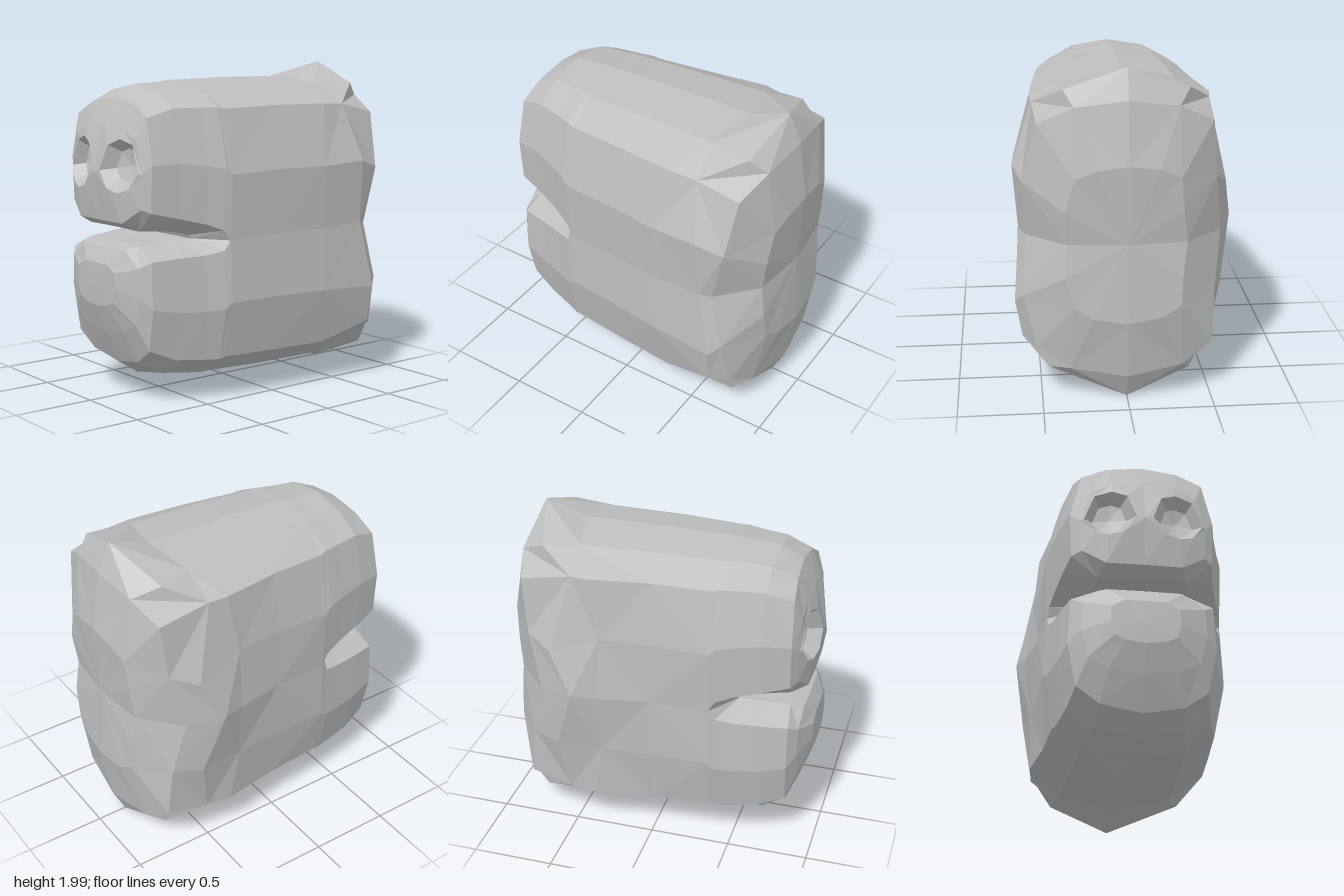
import * as THREE from 'three';

const skin = new THREE.MeshStandardMaterial({ color: 0xbebebe, flatShading: true });
skin.name = 'grey skin';

// Outline fractions: floor centre, floor side, lip corner, cheek, shoulder, crown side, crown
const upperProfile = [[0, 0], [0.6, 0], [0.97, 0], [1, 0.42], [0.85, 0.83], [0.5, 0.95], [0, 1]];
const lowerProfile = [[0, 0], [0.6, 0], [0.97, 0], [1, 0.42], [0.88, 0.8], [0.56, 0.94], [0, 1]];

// Cross-section of the upper half (crown above the floor) or the lower half (crown below it)
function section(profile, [z, wNeg, wPos, crown, floor = 1, corner = 1, bow = 0, floorZ = 0]) {
  // The right cheek flattens towards the rear
  const flatten = 1 - 0.1 * THREE.MathUtils.clamp((0.4 - z) / 0.9, 0, 1);
  const pt = (i, side) => {
    const [fx, fy] = profile[i];
    const w = side > 0 ? wPos : wNeg * (i === 3 ? flatten : 1);
    const y = i < 2 ? floor : corner + (crown - corner) * fy;
    const pinch = z < -0.7 && i === 2 ? bow * 0.7 : 0;
    return [side * fx * w, y, z + bow * fx * fx + pinch + (i < 2 ? floorZ : 0)];
  };
  return [0, 1, 2, 3, 4, 5, 6].map(i => pt(i, 1)).concat([5, 4, 3, 2, 1].map(i => pt(i, -1)));
}

// Uneven rim round the back of the head, in the same point order as a section
const seam = { centre: [0, 1, -0.8], left: [0.62, 1.02, -0.61], right: [-0.65, 1.02, -0.46] };
const rim = points => [seam.centre, seam.centre, seam.left, ...points, seam.right, seam.centre];
const upperRim = rim([
  [0.65, 1.4, -0.6], [0.53, 1.75, -0.53], [0.36, 1.87, -0.76], [0, 2, -0.81],
  [-0.37, 1.86, -0.7], [-0.51, 1.75, -0.48], [-0.6, 1.28, -0.6],
]);
const lowerRim = rim([
  [0.65, 0.6, -0.7], [0.61, 0.37, -0.69], [0.46, 0.2, -0.77], [0, 0.01, -0.81],
  [-0.38, 0.15, -0.74], [-0.53, 0.28, -0.52], [-0.585, 0.63, -0.58],
]);

// Skin a list of rings; skip(i, j) leaves a quad open
function loft(name, rings, flip = false, skip = () => false) {
  const pos = [];
  const same = (p, q) => p.every((v, k) => Math.abs(v - q[k]) < 1e-6);
  const tri = (a, b, c) => {
    if (same(a, b) || same(b, c) || same(a, c)) return;
    pos.push(...a, ...(flip ? c : b), ...(flip ? b : c));
  };
  for (let i = 0; i < rings.length - 1; i++) {
    const n = rings[i].length;
    for (let j = 0; j < n; j++) {
      if (skip(i, j)) continue;
      const a = rings[i][j], b = rings[i][(j + 1) % n];
      const d = rings[i + 1][j], c = rings[i + 1][(j + 1) % n];
      if ((i + j) % 2) { tri(a, b, c); tri(a, c, d); }
      else { tri(a, b, d); tri(b, c, d); }
    }
  }
  const geo = new THREE.BufferGeometry();
  geo.setAttribute('position', new THREE.Float32BufferAttribute(pos, 3));
  geo.computeVertexNormals();
  const mesh = new THREE.Mesh(geo, skin);
  mesh.name = name;
  return mesh;
}

export function createModel() {
  const group = new THREE.Group();
  group.name = 'snoutHead';

  // Stations: z, half widths, crown y, floor y, corner y, side bow, floor z shift
  const cap = [
    [-0.92, 0, 0, 1],
    [-0.95, 0.35, 0.36, 1.47, 1, 1, 0.04],
    [-0.89, 0.58, 0.6, 1.83, 1, 1, 0.13],
  ];
  const trunk = [
    [-0.55, 0.62, 0.635, 1.91, 1, 1, 0.25],
    [0, 0.56, 0.6, 1.91],
    [0.36, 0.53, 0.56, 1.9, 0.98, 0.98, 0, 0.14],
  ];
  const mouthStart = cap.length + trunk.length;
  const upperJaw = [
    [0.4, 0.52, 0.55, 1.9, 1, 1.04, 0, 0.11],
    [0.5, 0.5, 0.51, 1.89, 1.02, 1.08, 0, 0.06],
    [0.66, 0.47, 0.46, 1.88, 1.03, 1.12],
    [0.8, 0.43, 0.42, 1.81, 1.04, 1.16, 0.03],
    [0.875, 0.37, 0.37, 1.66, 1.09, 1.18, -0.01, 0.035],
  ];
  const lowerJaw = [
    [0.4, 0.52, 0.55, 0.1, 0.978, 0.92, 0, 0.11],
    [0.5, 0.5, 0.51, 0.11, 0.975, 0.9, 0, 0.06],
    [0.66, 0.47, 0.46, 0.13, 0.965, 0.89],
    [0.8, 0.43, 0.42, 0.22, 0.955, 0.88, 0.03],
    [0.89, 0.36, 0.36, 0.42, 0.93, 0.84, -0.01],
    [0.945, 0.2, 0.2, 0.58, 0.84, 0.8],
    [0.95, 0, 0, 0.7, 0.7, 0.7],
  ];
  const upperSection = s => section(upperProfile, s);
  const lowerSection = s => section(lowerProfile, s);
  const mirrored = ([z, a, b, crown, ...rest]) => lowerSection([z, a, b, 2 - crown, ...rest]);

  // Behind the mouth the two halves join, so their floors stay open
  const open = (i, j) => i < mouthStart && (j < 2 || j > 9);
  const upperRings = [...cap.map(upperSection), upperRim, ...[...trunk, ...upperJaw].map(upperSection)];
  const lowerRings = [...cap.map(mirrored), lowerRim, ...trunk.map(mirrored), ...lowerJaw.map(lowerSection)];
  group.add(loft('upperHead', upperRings, false, open));
  group.add(loft('lowerHead', lowerRings, true, open));

  // Front of the upper jaw: each half closes in around a sunken nostril
  const front = upperRings[upperRings.length - 1];
  for (const side of [1, -1]) {
    const ids = side > 0 ? [0, 1, 2, 3, 4, 5, 6] : [6, 7, 8, 9, 10, 11, 0];
    const edge = [...ids.map(i => front[i]), [0, 1.38, 0.948]];
    const cx = 0.2 * side, cy = 1.42;
    const around = (r, depth) => edge.map(([x, y]) => {
      const a = Math.atan2(y - cy, x - cx);
      const px = cx + r * Math.cos(a), py = cy + r * Math.sin(a);
      return [px, py, 0.95 - 0.55 * px * px - 0.5 * (py - 1.3) ** 2 - depth];
    });
    const rings = [edge, around(0.155, 0), around(0.1, 0.08), edge.map(() => [cx, cy, 0.81])];
    group.add(loft(side > 0 ? 'leftNostrilFace' : 'rightNostrilFace', rings));
  }
  return group;
}
